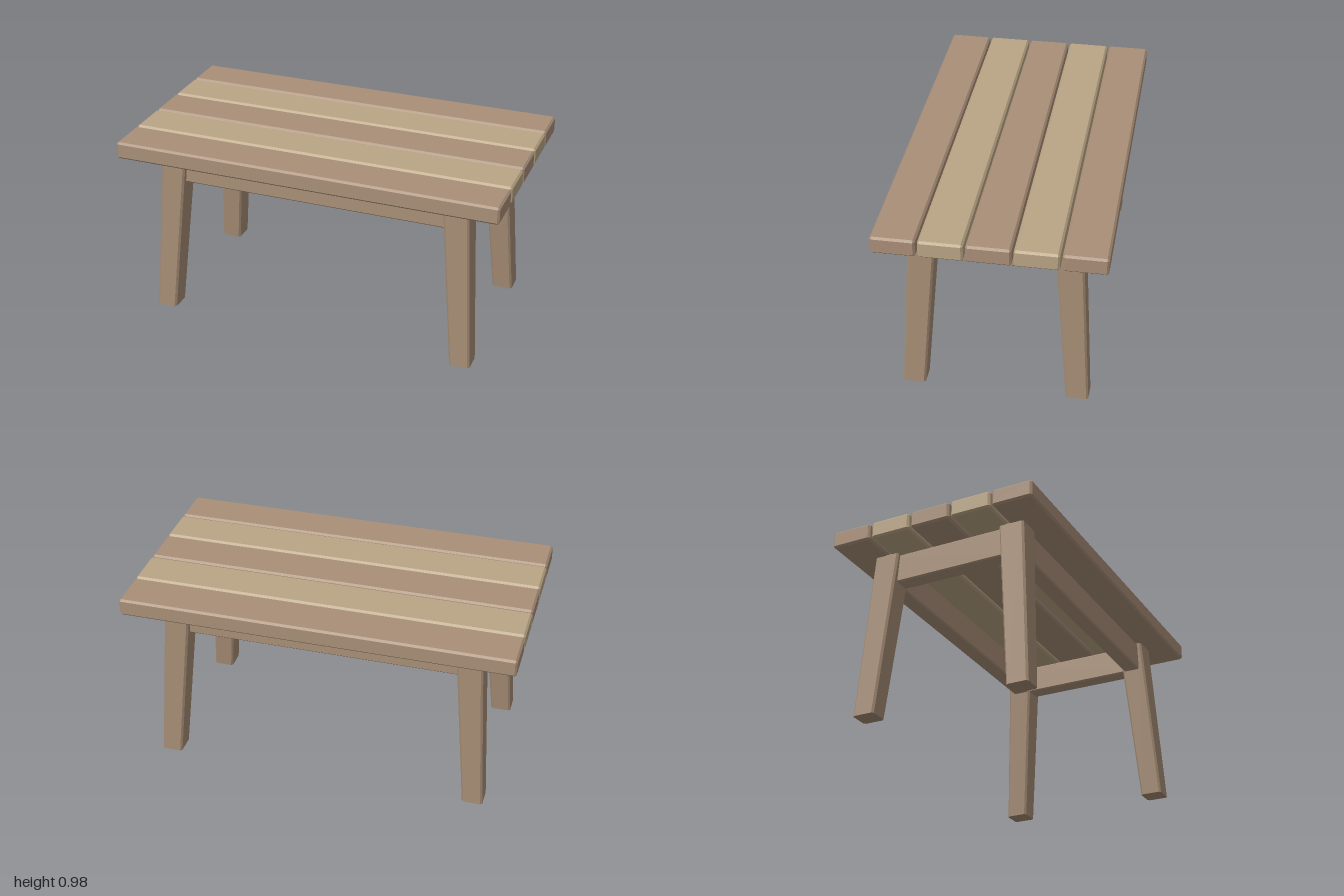
import * as THREE from 'three';
import { ConvexGeometry } from 'three/addons/geometries/ConvexGeometry.js';

const CHAMFER = 0.01;
const SIGNS = [-1, 1];
const darkWood = new THREE.MeshStandardMaterial({ color: 0xa98f78, flatShading: true });
const lightWood = new THREE.MeshStandardMaterial({ color: 0xbaa585, flatShading: true });
const legWood = new THREE.MeshStandardMaterial({ color: 0xa48b74, flatShading: true });

// Box with all twelve edges chamfered
function chamferedBox(w, h, d, c = CHAMFER) {
  const points = [];
  for (const sx of SIGNS) for (const sy of SIGNS) for (const sz of SIGNS) {
    const x = w / 2, y = h / 2, z = d / 2;
    points.push(
      new THREE.Vector3(sx * x, sy * (y - c), sz * (z - c)),
      new THREE.Vector3(sx * (x - c), sy * y, sz * (z - c)),
      new THREE.Vector3(sx * (x - c), sy * (y - c), sz * z));
  }
  return new ConvexGeometry(points);
}

// Splayed, tapered leg with chamfered long edges
function legGeometry(sideX, sideZ) {
  const sections = [
    { y: 0, x: 0.8175, z: 0.4125, w: 0.107, d: 0.115 },
    { y: 0.887, x: 0.75, z: 0.3525, w: 0.132, d: 0.134 },
  ];
  const points = [];
  for (const s of sections) for (const sx of SIGNS) for (const sz of SIGNS) {
    const cx = sideX * s.x, cz = sideZ * s.z;
    points.push(
      new THREE.Vector3(cx + sx * s.w / 2, s.y, cz + sz * (s.d / 2 - CHAMFER)),
      new THREE.Vector3(cx + sx * (s.w / 2 - CHAMFER), s.y, cz + sz * s.d / 2));
  }
  return new ConvexGeometry(points);
}

export function createModel() {
  const group = new THREE.Group();
  group.name = 'table';
  const add = (name, geometry, material, x = 0, y = 0, z = 0) => {
    const mesh = new THREE.Mesh(geometry, material);
    mesh.name = name;
    mesh.position.set(x, y, z);
    group.add(mesh);
  };

  // Tabletop: five planks in alternating tones
  const plank = chamferedBox(2, 0.09, 0.214);
  for (let i = 0; i < 5; i++) {
    add(`plank${i + 1}`, plank, i % 2 ? lightWood : darkWood, 0, 0.93, (i - 2) * 0.2245);
  }

  // Aprons run between the leg centres
  const longApron = chamferedBox(1.5, 0.153, 0.09, 0.007);
  const endApron = chamferedBox(0.09, 0.153, 0.7, 0.007);
  for (const s of SIGNS) {
    add(s > 0 ? 'frontApron' : 'backApron', longApron, darkWood, 0, 0.807, s * 0.3525);
    add(s > 0 ? 'leftApron' : 'rightApron', endApron, darkWood, s * 0.75, 0.807, 0);
  }

  // Legs
  for (const sx of SIGNS) for (const sz of SIGNS) {
    add(`${sz > 0 ? 'front' : 'back'}${sx > 0 ? 'Left' : 'Right'}Leg`, legGeometry(sx, sz), legWood);
  }
  return group;
}
